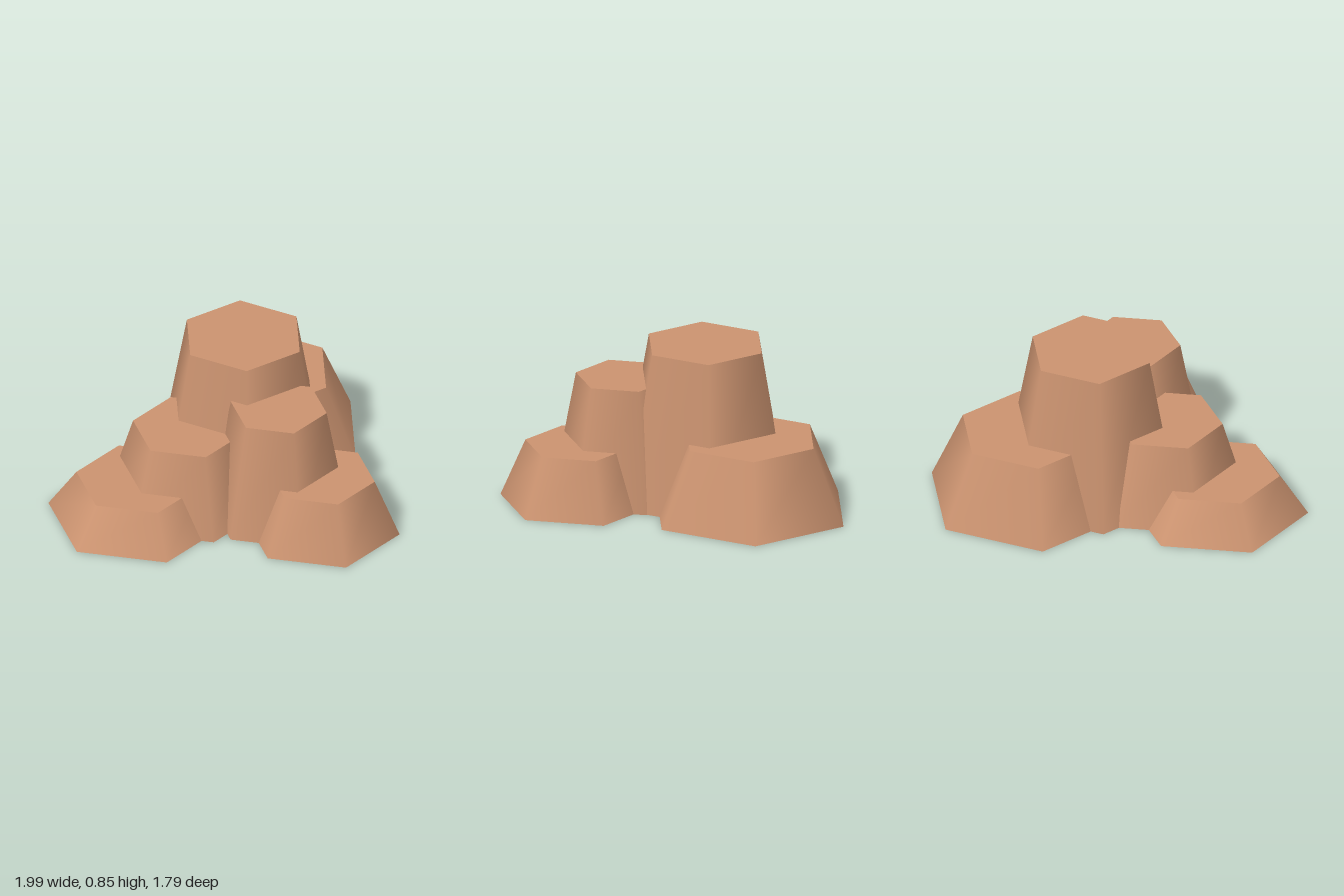
import * as THREE from 'three';

// Cluster of overlapping six-sided rock columns with smooth-shaded sides
const COLUMNS = [
  // name, x, z, height, top radius, base radius, turn in degrees
  ['tallColumn', 0.175, -0.195, 0.85, 0.336, 0.495, 30],
  ['backColumn', 0.44, -0.418, 0.41, 0.38, 0.558, 30],
  ['frontColumn', 0.12, 0.235, 0.655, 0.26, 0.382, -15],
  ['frontLowColumn', 0.23, 0.48, 0.318, 0.29, 0.425, -15],
  ['sideColumn', -0.225, -0.115, 0.457, 0.3, 0.437, -15],
  ['sideLowColumn', -0.525, -0.14, 0.22, 0.336, 0.488, -15],
];

export function createModel() {
  const group = new THREE.Group();
  group.name = 'rockCluster';
  const rock = new THREE.MeshStandardMaterial({ color: 0xcb9370 });
  rock.name = 'clay brown rock';

  for (const [name, x, z, height, top, base, turn] of COLUMNS) {
    const column = new THREE.Mesh(new THREE.CylinderGeometry(top, base, height, 6), rock);
    column.name = name;
    column.position.set(x, height / 2, z);
    column.rotation.y = THREE.MathUtils.degToRad(turn);
    group.add(column);
  }
  return group;
}
